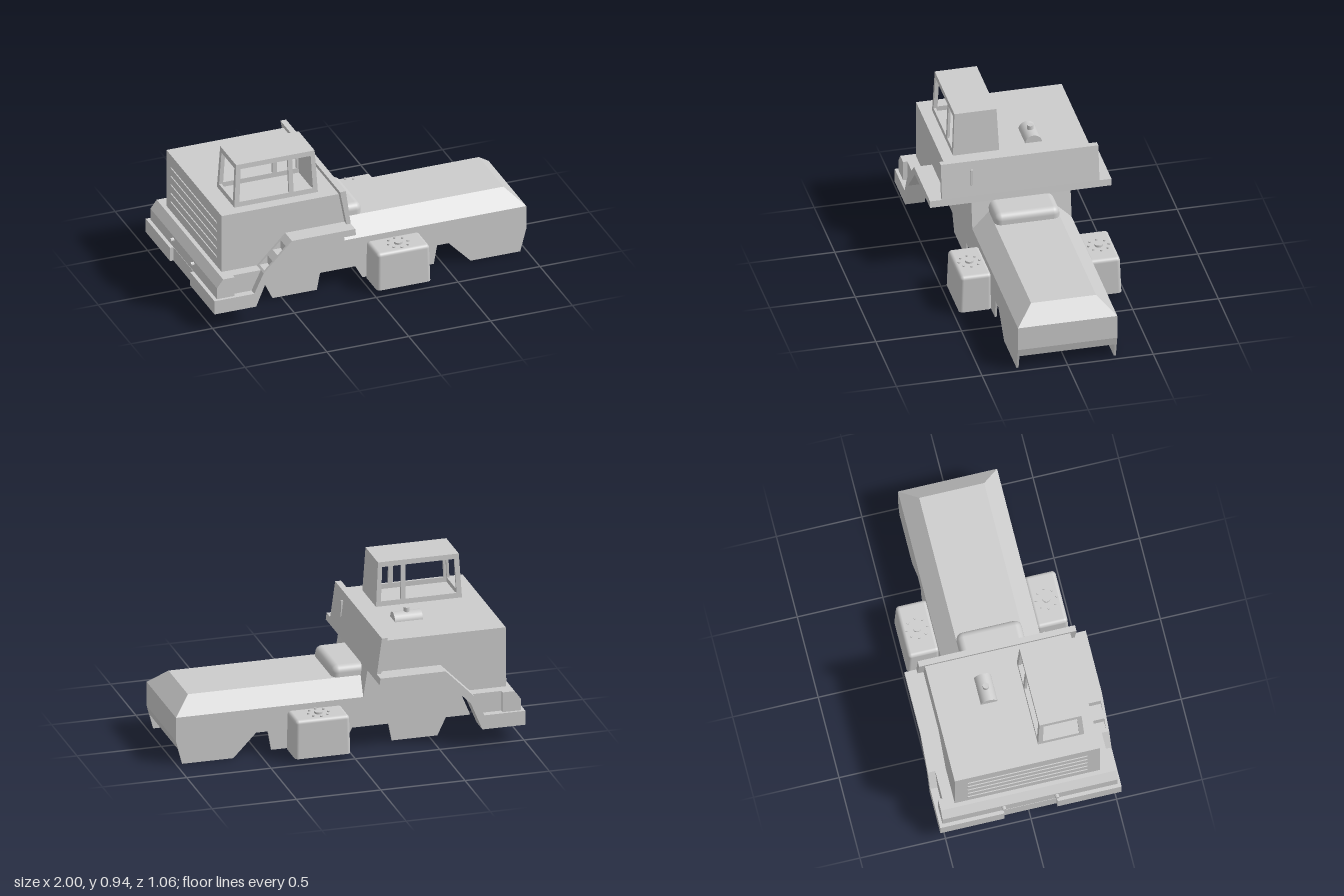
import * as THREE from 'three';
import { RoundedBoxGeometry } from 'three/addons/geometries/RoundedBoxGeometry.js';

const flat = new THREE.MeshStandardMaterial({ color: 0xcccccc, flatShading: true, side: THREE.DoubleSide });
const smooth = new THREE.MeshStandardMaterial({ color: 0xcccccc, side: THREE.DoubleSide });

export function createModel() {
  const root = new THREE.Group();

  const add = (name, geo, mat = flat, parent = root) => {
    const m = new THREE.Mesh(geo, mat);
    m.name = name;
    parent.add(m);
    return m;
  };
  const shapeOf = (pts) => new THREE.Shape(pts.map(([x, y]) => new THREE.Vector2(x, y)));
  // side profile extruded from z0 to z1
  const slab = (pts, z0, z1, holes = []) => {
    const s = shapeOf(pts);
    holes.forEach((h) => s.holes.push(shapeOf(h)));
    return new THREE.ExtrudeGeometry(s, { depth: z1 - z0, bevelEnabled: false }).translate(0, 0, z0);
  };
  const box = (x0, x1, y0, y1, z0, z1) =>
    new THREE.BoxGeometry(x1 - x0, y1 - y0, z1 - z0).translate((x0 + x1) / 2, (y0 + y1) / 2, (z0 + z1) / 2);
  const quads = (list) => {
    const pos = [];
    list.forEach(([a, b, c, d]) => pos.push(...a, ...b, ...c, ...a, ...c, ...d));
    const g = new THREE.BufferGeometry();
    g.setAttribute('position', new THREE.Float32BufferAttribute(pos, 3));
    g.computeVertexNormals();
    return g;
  };
  // thin sheet following an x-y path, spanning z0 to z1
  const sheet = (path, z0, z1) =>
    quads(path.slice(1).map(([x, y], i) => {
      const [px, py] = path[i];
      return [[px, py, z1], [x, y, z1], [x, y, z0], [px, py, z0]];
    }));
  const rect = (x0, x1, y0, y1) => [[x0, y0], [x1, y0], [x1, y1], [x0, y1]];

  // Chassis side panels with wheel cut-outs
  const panel = [
    [-0.745, 0.105], [-0.6, 0.105], [-0.55, 0], [-0.28, 0], [-0.26, 0.105], [-0.045, 0.105], [0, 0.025],
    [0.435, 0.025], [0.455, 0.14], [0.525, 0.14], [0.66, 0], [0.963, 0], [1, 0.14], [1, 0.285],
    [-0.11, 0.285], [-0.135, 0.445], [-0.51, 0.445], [-0.677, 0.27],
  ];
  for (const s of [-1, 1]) {
    const z = [0.278 * s, 0.29 * s].sort((a, b) => a - b);
    add('chassisSide', slab(panel, ...z));
  }

  // Rear deck: flat top, bevelled flanks and sloped tail
  const flank = (s) => [[-0.11, 0.285, 0.29 * s], [1, 0.285, 0.29 * s], [0.9, 0.38, 0.19 * s], [-0.125, 0.38, 0.19 * s]];
  add('rearDeck', quads([
    flank(1),
    flank(-1).reverse(),
    [[-0.125, 0.38, 0.19], [0.9, 0.38, 0.19], [0.9, 0.38, -0.19], [-0.125, 0.38, -0.19]],
    [[0.9, 0.38, 0.19], [1, 0.285, 0.29], [1, 0.285, -0.29], [0.9, 0.38, -0.19]],
  ]));
  add('tailPanel', sheet([[0.987, 0.09], [1, 0.14], [1, 0.285]], -0.29, 0.29));

  // Rounded cover on the deck
  const cover = new RoundedBoxGeometry(0.22, 0.13, 0.38, 4, 0.04).translate(-0.07, 0.38, 0);
  add('deckCover', cover, smooth);

  // Fuel tanks: rounded above, flat open bottom, slight taper
  for (const s of [-1, 1]) {
    const tank = new THREE.Group();
    tank.name = 'fuelTank';
    root.add(tank);
    const g = new RoundedBoxGeometry(0.33, 0.32, 0.19, 4, 0.022).translate(0.182, 0.095, 0.38 * s);
    const p = g.attributes.position;
    for (let i = 0; i < p.count; i++) {
      const y = Math.max(p.getY(i), 0.025);
      const k = 1 - 0.13 * (y - 0.025);
      p.setXYZ(i, 0.182 + (p.getX(i) - 0.182) * k, y, s * (0.285 + (p.getZ(i) * s - 0.285) * (1 - 0.2 * (y - 0.025))));
    }
    add('tankShell', g, smooth, tank);
    add('fillerCap', new THREE.CylinderGeometry(0.024, 0.024, 0.016, 20), flat, tank).position.set(0.182, 0.259, 0.378 * s);
    for (let i = 0; i < 8; i++) {
      const a = (i * Math.PI) / 4;
      add('capBolt', new THREE.CylinderGeometry(0.008, 0.008, 0.012, 8), flat, tank)
        .position.set(0.182 + 0.06 * Math.cos(a), 0.257, 0.378 * s + 0.06 * Math.sin(a));
    }
  }

  // Engine housing: hollow, open underneath
  const hoodSide = [[-0.915, 0.19], [-0.74, 0.19], [-0.677, 0.27], [-0.51, 0.445], [-0.145, 0.445], [-0.2, 0.67], [-0.915, 0.67]];
  add('hoodSide', slab(hoodSide, 0.415, 0.425));
  add('hoodSide', slab(hoodSide, -0.425, -0.415));
  add('hoodTop', box(-0.915, -0.19, 0.66, 0.67, -0.425, 0.425));
  add('hoodEnd', box(-0.915, -0.905, 0.19, 0.67, -0.425, 0.425));
  for (let i = 0; i < 5; i++) {
    add('louvre', box(-0.921, -0.914, 0.365 + i * 0.055, 0.375 + i * 0.055, -0.35, 0.35));
  }

  // Leaning bulkhead, wider at fender level and narrow between the chassis panels
  add('bulkheadUpper', slab([[-0.165, 0.485], [-0.14, 0.485], [-0.17, 0.7], [-0.205, 0.7]], -0.46, 0.46));
  add('bulkheadMiddle', slab([[-0.165, 0.445], [-0.135, 0.445], [-0.14, 0.485], [-0.165, 0.485]], -0.53, 0.53));
  add('bulkheadLower', slab([[-0.125, 0.285], [-0.11, 0.285], [-0.135, 0.445], [-0.15, 0.445]], -0.29, 0.29));
  add('bulkheadFin', slab([[-0.158, 0.545], [-0.147, 0.555], [-0.149, 0.65], [-0.17, 0.65]], 0.276, 0.29));

  // Fenders: outer band, top sheet and wheel-well sheet
  const outer = [[-0.757, 0.19], [-0.7, 0.31], [-0.527, 0.485], [-0.14, 0.485]];
  const inner = [[-0.745, 0.105], [-0.677, 0.27], [-0.51, 0.445], [-0.135, 0.445]];
  const band = [[-1, 0.105], ...inner, ...[...outer].reverse(), [-1, 0.19]];
  const stepped = [outer[0], [-0.7, 0.31], [-0.69, 0.32], [-0.64, 0.32], [-0.64, 0.37], [-0.61, 0.401],
    [-0.56, 0.401], [-0.56, 0.451], [-0.527, 0.485], [-0.14, 0.485]];
  add('fenderBand', slab(band, 0.515, 0.53));
  add('fenderBand', slab(band, -0.53, -0.515));
  add('fenderTop', sheet(outer, -0.53, -0.42));
  add('fenderTop', sheet(outer, 0.42, 0.44));
  add('fenderTop', sheet(outer, 0.515, 0.53));
  add('fenderSteps', sheet(stepped, 0.44, 0.515));
  add('wheelWell', sheet(inner, -0.53, -0.415));
  add('wheelWell', sheet(inner, 0.415, 0.53));

  // Bumper, nose panel and lamp housings
  add('bumperBeam', box(-0.98, -0.965, 0.105, 0.19, -0.53, 0.53));
  add('bumperTop', sheet([[-0.98, 0.19], [-0.9, 0.19]], -0.53, 0.53));
  const nose = [[-0.978, 0.19], [-0.978, 0.26], [-0.94, 0.31]];
  add('nosePanel', sheet([...nose, [-0.91, 0.31]], -0.45, 0.45));
  for (const s of [-1, 1]) {
    const span = (a, b) => (s > 0 ? [a, b] : [-b, -a]);
    add('bumperPlate', box(-1, -0.98, 0.105, 0.19, ...span(0.155, 0.53)));
    add('bumperShelf', sheet([[-0.98, 0.19], [-0.757, 0.19]], ...span(0.42, 0.53)));
    add('lampHousing', slab([...nose, [-0.87, 0.31], [-0.87, 0.19]], ...span(0.425, 0.512)));
    add('lampHousingRear', slab([[-0.87, 0.19], [-0.87, 0.31], [-0.7, 0.31], [-0.757, 0.19]], ...span(0.425, 0.487)));
    add('towPin', new THREE.CylinderGeometry(0.012, 0.012, 0.025, 10).rotateZ(Math.PI / 2)).position.set(-0.985, 0.24, 0.155 * s);
  }

  // Cab: built square, then narrowed towards the roof
  const cab = new THREE.Group();
  cab.name = 'cab';
  root.add(cab);
  const taper = (g) => {
    const p = g.attributes.position;
    for (let i = 0; i < p.count; i++) {
      const t = (p.getY(i) - 0.67) / 0.265;
      p.setX(i, -0.555 + (p.getX(i) + 0.555) * (1 - 0.06 * t));
      p.setZ(i, 0.2225 + (p.getZ(i) - 0.2225) * (1 - 0.09 * t));
    }
    g.computeVertexNormals();
    return g;
  };
  const sideWindows = [rect(-0.78, -0.475, 0.7, 0.905), rect(-0.447, -0.328, 0.7, 0.905)];
  for (const z of [0.0875, 0.3425]) {
    add('cabSide', taper(slab(rect(-0.81, -0.3, 0.67, 0.935), z, z + 0.015, sideWindows)), flat, cab);
  }
  const frontWall = slab(rect(-0.3575, -0.0875, 0.67, 0.935), 0, 0.015, [rect(-0.33, -0.115, 0.7, 0.905)])
    .rotateY(Math.PI / 2).translate(-0.81, 0, 0);
  add('cabWindowWall', taper(frontWall), flat, cab);
  add('cabSolidWall', taper(box(-0.315, -0.3, 0.67, 0.935, 0.0875, 0.3575)), flat, cab);
  add('cabRoof', taper(box(-0.81, -0.3, 0.907, 0.935, 0.0875, 0.3575)), flat, cab);

  // Half-round vent with a cap on the hood
  add('roofVent', new THREE.CylinderGeometry(0.05, 0.05, 0.165, 24, 1).rotateZ(Math.PI / 2).translate(-0.418, 0.664, -0.122),
    smooth);
  add('ventCap', new THREE.CylinderGeometry(0.018, 0.018, 0.04, 16).translate(-0.418, 0.718, -0.122));

  return root;
}
